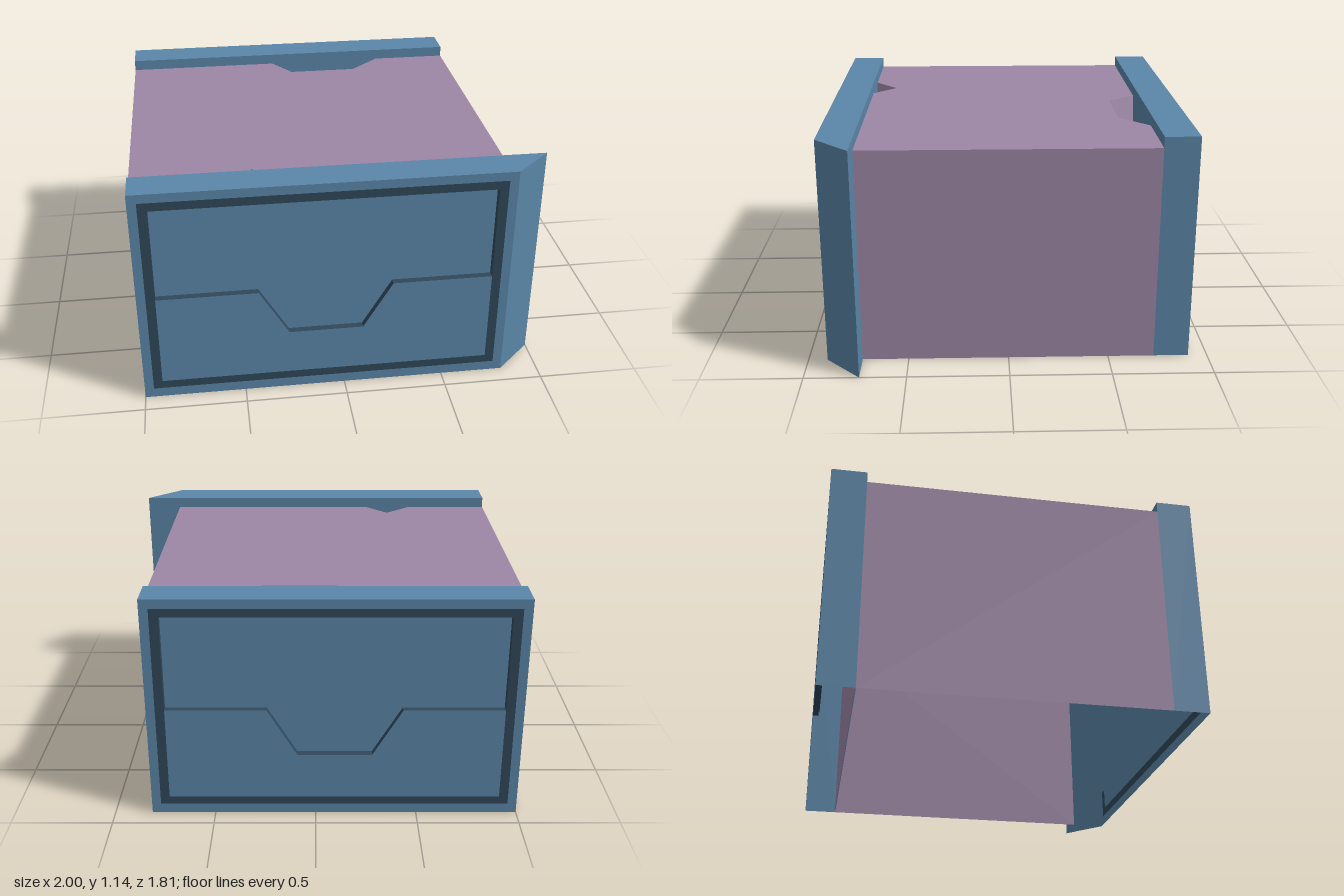
import * as THREE from 'three';

const material = (color) => new THREE.MeshStandardMaterial({ color, side: THREE.DoubleSide, flatShading: true });
const blue = material(0x5b86a8);
const purple = material(0x9d87a6);
const dark = material(0x30485a);

// Flat-sided sheet from convex polygons, each a list of [x, y, z] corners
function sheet(name, mat, polygons) {
  const pos = [];
  for (const p of polygons)
    for (let i = 1; i < p.length - 1; i++) pos.push(...p[0], ...p[i], ...p[i + 1]);
  const g = new THREE.BufferGeometry();
  g.setAttribute('position', new THREE.Float32BufferAttribute(pos, 3));
  g.computeVertexNormals();
  const m = new THREE.Mesh(g, mat);
  m.name = name;
  return m;
}

const toShape = (pts) => new THREE.Shape(pts.map(([x, y]) => new THREE.Vector2(x, y)));
const rect = (hw, y0, y1) => [[-hw, y0], [hw, y0], [hw, y1], [-hw, y1]];

// Flat panel in the xy plane, with an optional hole
function panel(name, mat, pts, z, hole) {
  const s = toShape(pts);
  if (hole) s.holes.push(toShape(hole));
  const m = new THREE.Mesh(new THREE.ShapeGeometry(s), mat);
  m.name = name;
  m.position.z = z;
  return m;
}

// Vertical strips hanging along a line of [x, y], between two depths
const strips = (pts, z0, z1) => pts.slice(1).map(([x, y], i) => {
  const [px, py] = pts[i];
  return [[px, py, z0], [x, y, z0], [x, y, z1], [px, py, z1]];
});

const W = 0.9075, H = 1.145, D = 0.175, ROOM_Z = 0.73, ROOM_H = 1.09;
const CX = -0.0925;

// Hollow door frame, facing +z, open underneath
function doorFrame(name, flare) {
  const g = new THREE.Group();
  g.name = name;
  const outer = rect(0.863, 0.05, 1.1);
  const inner = rect(0.818, 0.092, 1.057);
  const step = 0.035;
  const B = W + flare;

  g.add(sheet('frameShell', blue, [
    [[-W, H, D], [W, H, D], [B, H, 0], [-W, H, 0]],
    [[W, 0, D], [B, 0, 0], [B, H, 0], [W, H, D]],
    [[-W, 0, 0], [-W, 0, D], [-W, H, D], [-W, H, 0]],
    [[B, 0, 0], [-W, 0, 0], [-W, H, 0], [B, H, 0]],
  ]));
  g.add(panel('frameFace', blue, rect(W, 0, H), D, outer));
  g.add(panel('darkTrim', dark, outer, D, inner));

  // Interlocking door leaves: the upper one is set deeper
  const seam = [[-0.818, 0.573], [-0.3275, 0.573], [-0.1825, 0.33], [0.1825, 0.33], [0.3275, 0.573], [0.818, 0.573]];
  g.add(panel('lowerDoor', blue, [[-0.818, 0.092], [0.818, 0.092], ...[...seam].reverse()], D));
  g.add(panel('upperDoor', blue, [...seam, [0.818, 1.057], [-0.818, 1.057]], D - step));
  const rim = [[0.818, 0.573], [0.818, 1.057], [-0.818, 1.057], [-0.818, 0.573]];
  g.add(sheet('doorEdges', dark, [...strips(seam, D, D - step), ...strips(rim, D, D - step)]));
  return g;
}

export function createModel() {
  const root = new THREE.Group();
  root.name = 'doorPassage';

  const front = doorFrame('frontDoorFrame', 0.185);
  front.position.set(CX, 0, ROOM_Z);
  const back = doorFrame('backDoorFrame', 0);
  back.position.set(CX, 0, -ROOM_Z);
  back.rotation.y = Math.PI;
  root.add(front, back);

  // Room walls, open underneath
  const x0 = -1, x1 = 0.815, z = ROOM_Z;
  root.add(sheet('sideWalls', purple, [
    [[x1, 0, z], [x1, 0, -z], [x1, ROOM_H, -z], [x1, ROOM_H, z]],
    [[x0, 0, -z], [x0, 0, z], [x0, ROOM_H, z], [x0, ROOM_H, -z]],
  ]));
  const zb = -z - 0.003;
  root.add(sheet('backWall', purple, [
    [[x1, 0, zb], [x0, 0, zb], [x0, ROOM_H, zb], [x1, ROOM_H, zb]],
  ]));

  // Roof with a notch broken into each end
  const frontNotch = [[-0.56, z], [-0.42, 0.61], [-0.3, z]];
  const backNotch = [[0.42, -z], [0.26, -0.585], [-0.1, -0.585], [-0.2, -z]];
  const outline = [[x0, -z], [x0, z], ...frontNotch, [x1, z], [x1, -z], ...backNotch];
  const roofGeo = new THREE.ShapeGeometry(toShape(outline.map(([x, d]) => [x, -d])));
  roofGeo.rotateX(-Math.PI / 2);
  const roof = new THREE.Mesh(roofGeo, purple);
  roof.name = 'roof';
  roof.position.y = ROOM_H;
  root.add(roof);

  // Slanted sides of the notches
  const top = ([x, d]) => [x, ROOM_H, d];
  const f = frontNotch.map(top), b = backNotch.map(top);
  const tip = [-0.42, 0.83, z];
  const lowL = [0.42, 0.03, -z], lowR = [0.1, 0.03, -z];
  root.add(sheet('frontNotchSides', purple, [[f[0], tip, f[1]], [f[1], tip, f[2]]]));
  root.add(sheet('backNotchSides', purple, [
    [b[0], lowL, b[1]], [b[1], lowL, lowR, b[2]], [b[2], lowR, b[3]],
  ]));
  return root;
}
